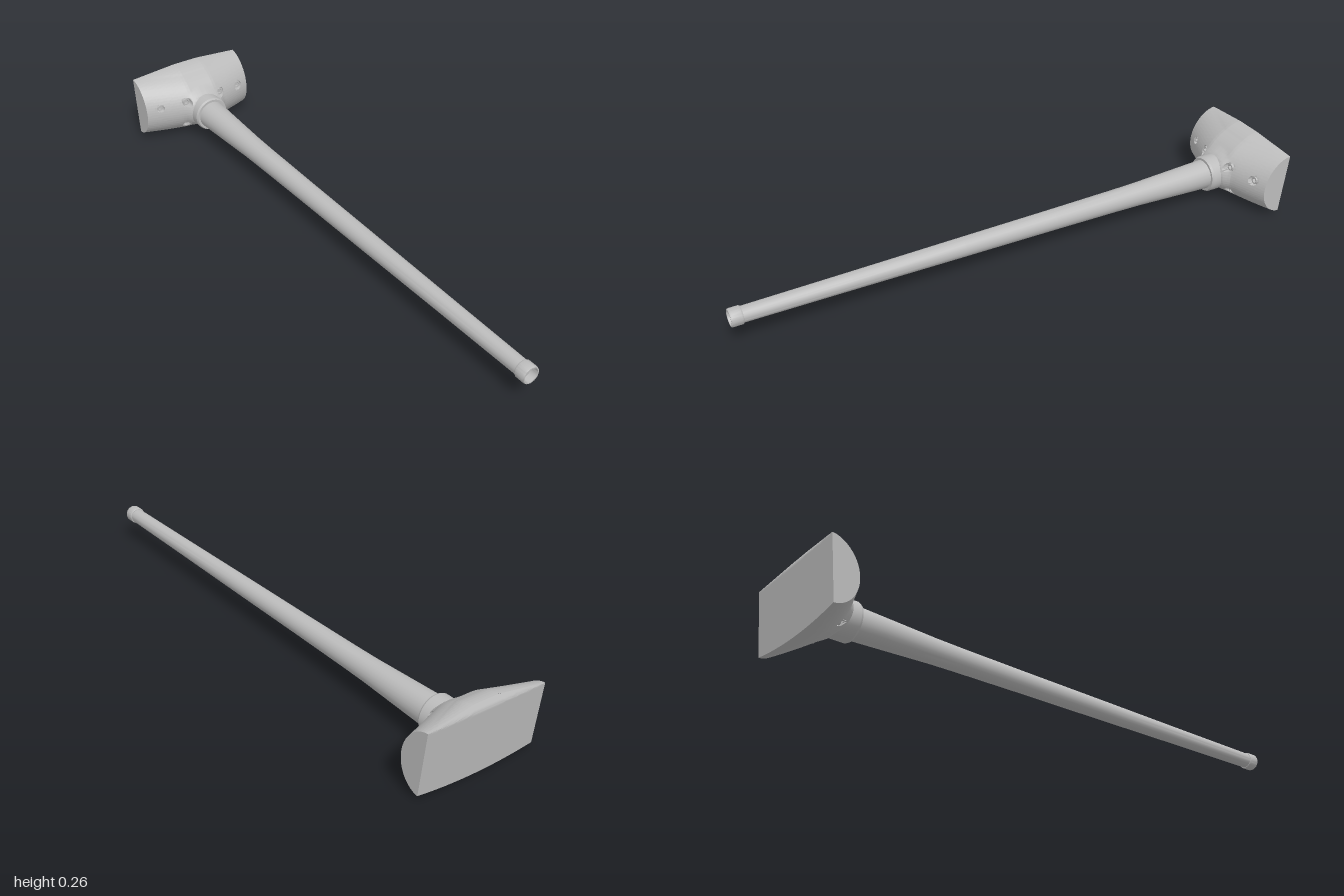
import * as THREE from 'three';
import { toCreasedNormals } from 'three/addons/utils/BufferGeometryUtils.js';

const AXIS_Y = 0.108, HALF = 0.222;
const { lerp, clamp, smoothstep } = THREE.MathUtils;

// Bolt pockets: x, y, radius
const pockets = [
  [-0.074, 0.156, 0.017], [0.074, 0.156, 0.017],
  [-0.074, 0.053, 0.014], [0.074, 0.053, 0.014],
  [-0.17, 0.144, 0.014], [0.172, 0.141, 0.018],
];

// Head outline and surfaces
const topY = (x) => 0.256 - 0.021 * Math.max(Math.abs(x) - 0.05, 0) / (HALF - 0.05);
const bottomY = (x) => 0.001 + 0.017 * (x / HALF) ** 2;
const backZ = (y) => -0.999 + (0.235 - y) * 0.11 + Math.max(y - 0.235, 0) * 0.7;
function frontZ(x, y) {
  const top = topY(x), bottom = bottomY(x);
  const t = clamp((2 * y - top - bottom) / (top - bottom), -1, 1);
  const ridge = lerp(0.15, 0.087, clamp((Math.abs(x) - 0.055) / (HALF - 0.055), 0, 1));
  const r = Math.hypot(x, y - AXIS_Y);
  const flare = 0.014 * (1 - smoothstep(r, 0.062, 0.095));
  return backZ(y) + ridge * (1 - t * t) ** 0.55 + flare;
}
const rowY = (x, v) => lerp(bottomY(x), topY(x), 0.5 - 0.5 * Math.cos(v * Math.PI));
const floorZ = ([x, y]) => frontZ(x, y) - 0.016;

// Point on the front skin, with grid points pulled to the pocket rims
function skin(u, v) {
  let x = lerp(-HALF, HALF, u), y = rowY(x, v);
  for (const p of pockets) {
    const [px, py, R] = p, dx = x - px, dy = y - py, d = Math.hypot(dx, dy), h = 0.0035;
    if (d < 1e-6 || d > R + h) continue;
    const inside = d < R;
    const k = inside ? (d > R - h ? R * 0.97 / d : 1) : R / d;
    x = px + dx * k;
    y = py + dy * k;
    const z = frontZ(x, y);
    return [x, y, inside ? Math.min(floorZ(p), z - 0.003) : z];
  }
  if (v === 0 || v === 1) return [x, y, backZ(y)];
  return [x, y, frontZ(x, y)];
}

// Grid surface; the outside is along du x dv
function patch(nu, nv, fn) {
  const pos = [], idx = [];
  for (let j = 0; j <= nv; j++)
    for (let i = 0; i <= nu; i++) {
      pos.push(...fn(i / nu, j / nv));
      if (i === nu || j === nv) continue;
      const a = j * (nu + 1) + i, c = a + nu + 1;
      idx.push(a, a + 1, c + 1, a, c + 1, c);
    }
  const g = new THREE.BufferGeometry();
  g.setAttribute('position', new THREE.Float32BufferAttribute(pos, 3));
  g.setIndex(idx);
  return toCreasedNormals(g, 0.6);
}

// Turned part along z from [z, radius] pairs
function turned(points, segments) {
  const g = new THREE.LatheGeometry(points.map(([z, r]) => new THREE.Vector2(r, z)), segments);
  return toCreasedNormals(g.rotateX(Math.PI / 2).translate(0, AXIS_Y, 0), 0.5);
}

export function createModel() {
  const metal = new THREE.MeshStandardMaterial({ color: 0xbcbcbc });
  metal.name = 'grey metal';
  const model = new THREE.Group();
  model.name = 'longHammer';
  const add = (parent, name, geometry) => {
    const mesh = new THREE.Mesh(geometry, metal);
    mesh.name = name;
    parent.add(mesh);
    return mesh;
  };

  // Head: domed front, flat tilted back, D-shaped ends
  const head = new THREE.Group();
  head.name = 'head';
  model.add(head);
  add(head, 'headFront', patch(150, 110, skin));
  add(head, 'headBack', patch(40, 40, (u, v) => {
    const x = lerp(HALF, -HALF, u), y = rowY(x, v);
    return [x, y, backZ(y)];
  }));
  for (const s of [-1, 1])
    add(head, s > 0 ? 'leftEnd' : 'rightEnd', patch(110, 1, (u, v) => {
      const w = s > 0 ? u : 1 - u, y = rowY(HALF, w);
      const edge = w === 0 || w === 1 ? backZ(y) : frontZ(HALF, y);
      return [s * HALF, y, v ? edge : backZ(y)];
    }));

  // Socket bolts sitting in the pockets
  for (const p of pockets) {
    const R = p[2] * 0.76;
    const shape = new THREE.Shape().absarc(0, 0, R, 0, Math.PI * 2, false);
    const hex = [];
    for (let i = 0; i < 6; i++) {
      const a = i * Math.PI / 3;
      hex.push(new THREE.Vector2(Math.cos(a) * R * 0.66, Math.sin(a) * R * 0.66));
    }
    shape.holes.push(new THREE.Path(hex));
    const g = new THREE.ExtrudeGeometry(shape, { depth: 0.012, bevelEnabled: false, curveSegments: 12 });
    add(model, 'socketBolt', g).position.set(p[0], p[1], floorZ(p) - 0.002);
  }

  // Collar between the head and the handle
  add(model, 'collar', turned([
    [-0.86, 0.066], [-0.797, 0.066], [-0.79, 0.062], [-0.79, 0.045],
  ], 32));

  // Tapered handle
  add(model, 'handle', turned([
    [-0.8, 0.054], [-0.7, 0.05], [-0.6, 0.046], [-0.5, 0.042], [-0.4, 0.04],
    [-0.15, 0.037], [0.2, 0.034], [0.6, 0.03], [0.97, 0.027],
  ], 24));

  // Hollow end cap
  add(model, 'endCap', turned([
    [0.96, 0.02], [0.96, 0.029], [0.964, 0.031], [0.995, 0.031], [1, 0.029],
    [1, 0.025], [0.975, 0.024], [0.975, 0],
  ], 24));

  return model;
}
